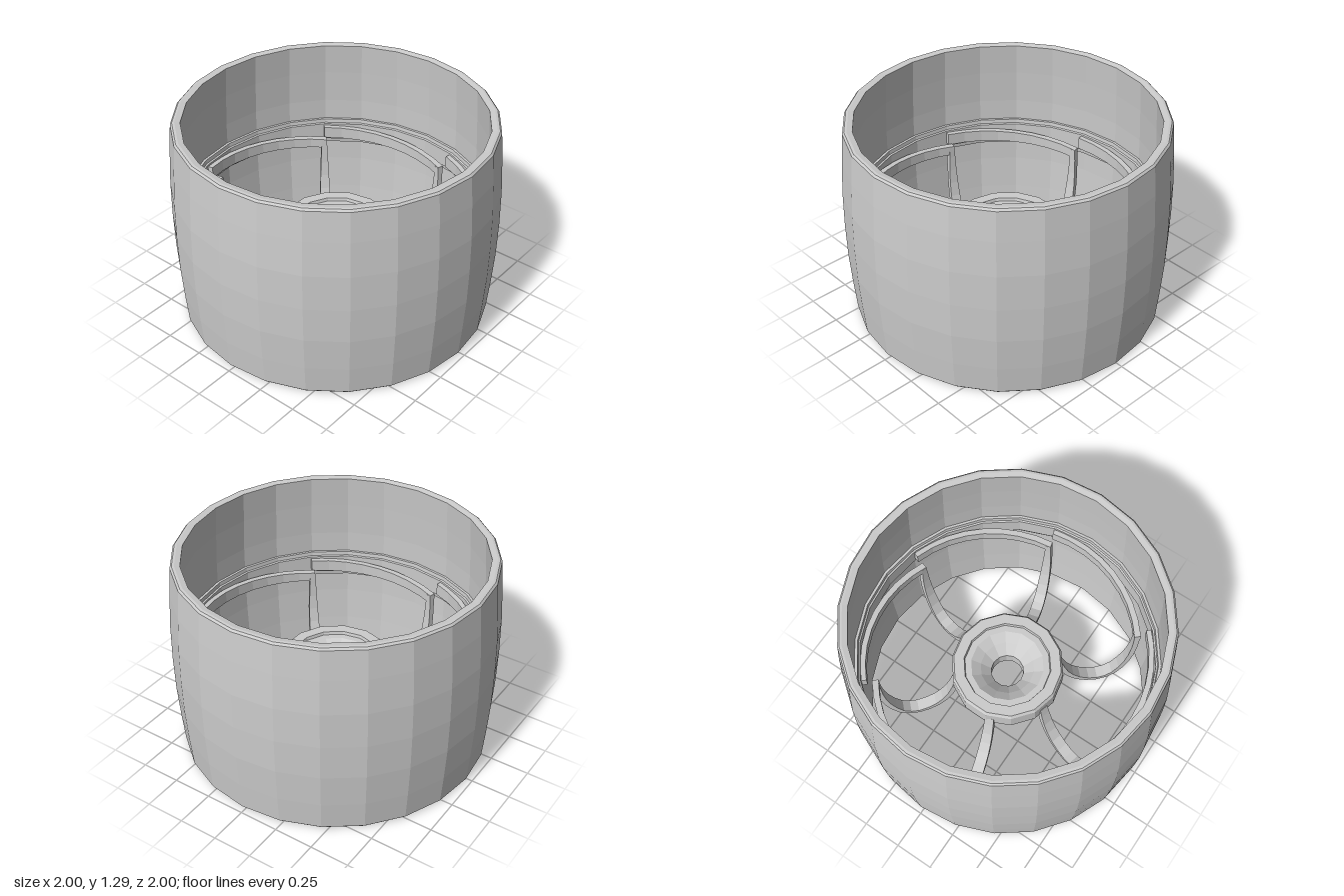
import * as THREE from 'three';

const material = new THREE.MeshStandardMaterial({ color: 0xcccccc, flatShading: true, side: THREE.DoubleSide });

function addMesh(parent, geometry, name) {
  const mesh = new THREE.Mesh(geometry, material);
  mesh.name = name;
  parent.add(mesh);
  return mesh;
}

// Closed profile of [radius, height] pairs turned about the y axis
function turned(profile, sides) {
  const points = [...profile, profile[0]].map(([r, y]) => new THREE.Vector2(r, y));
  return new THREE.LatheGeometry(points, sides, -0.02);
}

// Four-sided bar skinned over a list of stations, each with four corners
function bar(stations) {
  const positions = stations.flat(2);
  const index = [0, 1, 2, 0, 2, 3];
  const last = (stations.length - 1) * 4;
  for (let i = 0; i < stations.length - 1; i++) {
    for (let j = 0; j < 4; j++) {
      const a = i * 4 + j, b = i * 4 + (j + 1) % 4;
      index.push(a, a + 4, b, b, a + 4, b + 4);
    }
  }
  index.push(last, last + 2, last + 1, last, last + 3, last + 2);
  const geometry = new THREE.BufferGeometry();
  geometry.setAttribute('position', new THREE.Float32BufferAttribute(positions, 3));
  geometry.setIndex(index);
  geometry.computeVertexNormals();
  return geometry;
}

// Blade that dips from the hub and rises to the outer corner, tapering outwards
function spokeGeometry() {
  const curve = new THREE.SplineCurve([
    [0.33, 0.44], [0.38, 0.26], [0.47, 0.11], [0.6, 0.035],
    [0.71, 0.09], [0.785, 0.27], [0.815, 0.46], [0.82, 0.635],
  ].map(([r, y]) => new THREE.Vector2(r, y)));
  const stations = [];
  const steps = 14;
  for (let i = 0; i <= steps; i++) {
    const t = i / steps;
    const p = curve.getPoint(t), d = curve.getTangent(t);
    const w = 0.028 - 0.012 * t + 0.016 * Math.sin(Math.PI * t);
    const nx = -d.y * 0.018, ny = d.x * 0.018;
    stations.push([
      [p.x - nx, p.y - ny, -w], [p.x + nx, p.y + ny, -w],
      [p.x + nx, p.y + ny, w], [p.x - nx, p.y - ny, w],
    ]);
  }
  return bar(stations);
}

// Spring arm that sweeps from the spoke tip outwards to the inner ring
function armGeometry() {
  const stations = [];
  const steps = 8;
  for (let i = 0; i <= steps; i++) {
    const t = i / steps;
    const angle = 0.02 - t * 1.06;
    const r = 0.822 + 0.065 * Math.sin(t * Math.PI / 2);
    const y = 0.61 + 0.047 * t;
    const h = 0.03 + 0.01 * t;
    const w = 0.02 - 0.004 * t;
    const c = Math.cos(angle), s = Math.sin(angle);
    const corner = (radius, height) => [radius * c, height, radius * s];
    stations.push([
      corner(r - w, y - h), corner(r + w, y - h),
      corner(r + w, y + h), corner(r - w, y + h),
    ]);
  }
  return bar(stations);
}

export function createModel() {
  const wheel = new THREE.Group();
  wheel.name = 'wheel';

  // Barrel-shaped tread with a curved wall and small bevels at both edges
  addMesh(wheel, turned([
    [0.907, 0.005], [0.94, 0], [0.955, 0.002], [0.966, 0.014], [0.982, 0.2], [0.996, 0.42], [1, 0.6475],
    [0.996, 0.875], [0.982, 1.095], [0.966, 1.281], [0.955, 1.293], [0.94, 1.295], [0.907, 1.29],
    [0.922, 1.09], [0.934, 0.875], [0.938, 0.6475], [0.934, 0.42], [0.922, 0.2],
  ], 24), 'tread');

  // Stepped ring halfway up the inner wall
  addMesh(wheel, turned([
    [0.94, 0.56], [0.92, 0.56], [0.917, 0.585], [0.907, 0.59],
    [0.907, 0.705], [0.917, 0.71], [0.92, 0.735], [0.94, 0.735],
  ], 24), 'innerRing');

  // Hub with a boss below, a stepped top and a funnel down to the axle hole
  addMesh(wheel, turned([
    [0.103, 0.32], [0.16, 0.32], [0.2, 0.35], [0.335, 0.36], [0.353, 0.38], [0.353, 0.51], [0.34, 0.53],
    [0.275, 0.53], [0.27, 0.51], [0.23, 0.51], [0.17, 0.47], [0.103, 0.41],
  ], 14), 'hub');

  // Six spokes, each with its spring arm
  const spoke = spokeGeometry(), arm = armGeometry();
  for (let i = 0; i < 6; i++) {
    const unit = new THREE.Group();
    unit.name = 'spokeUnit';
    unit.rotation.y = -Math.PI / 4 - i * Math.PI / 3;
    addMesh(unit, spoke, 'spoke');
    addMesh(unit, arm, 'springArm');
    wheel.add(unit);
  }
  return wheel;
}
